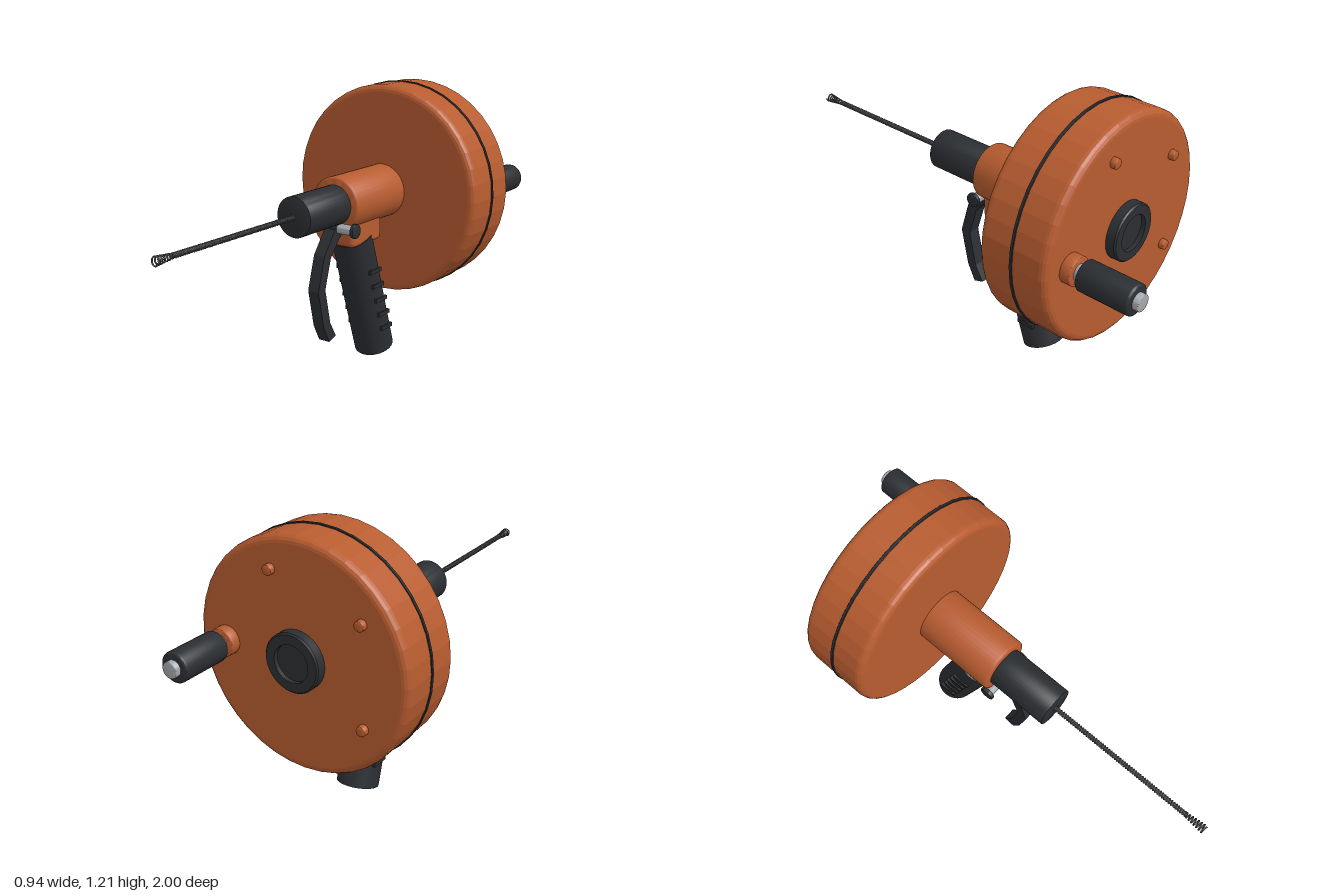
import * as THREE from 'three';
import { toCreasedNormals } from 'three/addons/utils/BufferGeometryUtils.js';
import { RoundedBoxGeometry } from 'three/addons/geometries/RoundedBoxGeometry.js';

const AXIS_Y = 0.743; // height of the drum axis
const mat = (color, extra = {}) => new THREE.MeshStandardMaterial({ color, ...extra });

export function createModel() {
  const model = new THREE.Group();
  model.name = 'drumAuger';
  const orange = mat(0xb85c30);
  const orangeFlat = mat(0xb85c30, { flatShading: true });
  const black = mat(0x2b2e32);
  const blackFlat = mat(0x2b2e32, { flatShading: true });
  const steel = mat(0xa4a8ac);
  const wire = mat(0x5a5c5f);

  const add = (name, geometry, material, x = 0, y = 0, z = 0, parent = model) => {
    const mesh = new THREE.Mesh(geometry, material);
    mesh.name = name;
    mesh.position.set(x, y, z);
    parent.add(mesh);
    return mesh;
  };
  // Solid of revolution about z; profile is [radius, z] from back to front
  const turn = (profile, segments = 40) =>
    toCreasedNormals(
      new THREE.LatheGeometry(profile.map(([r, z]) => new THREE.Vector2(r, z)), segments).rotateX(Math.PI / 2),
      0.6
    );
  // Rod along z with rounded rims
  const rod = (radius, back, front, round = 0.006, segments = 40) => {
    const profile = [[0, back]];
    const steps = 4;
    for (let i = 0; i <= steps; i++) {
      const a = (i / steps) * Math.PI / 2;
      profile.push([radius - round + round * Math.sin(a), back + round - round * Math.cos(a)]);
    }
    for (let i = 0; i <= steps; i++) {
      const a = (i / steps) * Math.PI / 2;
      profile.push([radius - round + round * Math.cos(a), front - round + round * Math.sin(a)]);
    }
    profile.push([0, front]);
    return turn(profile, segments);
  };

  // Drum and its seam
  add('drum', rod(0.466, -0.69, -0.38, 0.03), orangeFlat, 0, AXIS_Y);
  add('drumSeam', rod(0.471, -0.541, -0.529, 0.002), blackFlat, 0, AXIS_Y);

  // Neck and chuck in front of the drum
  add('neck', rod(0.118, -0.4, -0.025, 0.012), orange, 0, AXIS_Y);
  add('chuck', rod(0.085, -0.04, 0.245, 0.002), black, 0, AXIS_Y);

  // Dished hub at the back
  add('rearHub', turn([
    [0, -0.715], [0.075, -0.715], [0.075, -0.733], [0.112, -0.733], [0.118, -0.727], [0.118, -0.68],
  ]), black, 0, AXIS_Y);

  // Screws on the back, sharing a five-point circle with the crank
  for (const i of [1, 2, 3]) {
    const a = (i * 2 * Math.PI) / 5;
    add('drumScrew', rod(0.021, -0.713, -0.68, 0.005, 20), orange,
      0.345 * Math.cos(a), AXIS_Y + 0.345 * Math.sin(a));
  }

  // Crank knob
  const crank = new THREE.Group();
  crank.name = 'crank';
  crank.position.set(0.33, AXIS_Y, 0);
  model.add(crank);
  add('crankBoss', rod(0.058, -0.733, -0.68, 0.005, 32), orange, 0, 0, 0, crank);
  add('crankShaft', rod(0.033, -1, -0.72, 0.003, 24), steel, 0, 0, 0, crank);
  add('crankGrip', rod(0.061, -0.977, -0.755, 0.01, 32), black, 0, 0, 0, crank);

  // Wound cable, flaring into a coil at the tip
  const helix = (z0, z1, turns, r0, r1) => {
    const points = [];
    const n = turns * 10;
    for (let i = 0; i <= n; i++) {
      const t = i / n;
      const a = t * turns * Math.PI * 2;
      const r = r0 + (r1 - r0) * t;
      points.push(new THREE.Vector3(r * Math.cos(a), r * Math.sin(a), z0 + (z1 - z0) * t));
    }
    return new THREE.TubeGeometry(new THREE.CatmullRomCurve3(points), n, 0.0032, 6);
  };
  add('cableCore', rod(0.0085, 0.2, 0.9, 0.001, 12), wire, 0, AXIS_Y);
  add('cableWinding', helix(0.24, 0.91, 60, 0.009, 0.009), wire, 0, AXIS_Y);
  add('cableTip', helix(0.905, 0.996, 7, 0.009, 0.018), wire, 0, AXIS_Y);

  // Mount block and pistol grip
  add('gripMount', new RoundedBoxGeometry(0.16, 0.13, 0.215, 4, 0.022), orange, 0, 0.621, -0.157);
  const tilt = 0.318;
  const gripLength = 0.58;
  const grip = add('pistolGrip', new THREE.CylinderGeometry(0.088, 0.088, gripLength, 40), black,
    0, 0.028 + Math.cos(tilt) * gripLength / 2, -0.332 + Math.sin(tilt) * gripLength / 2);
  grip.rotation.x = tilt;
  for (const side of [-1, 1]) {
    for (let i = 0; i < 5; i++) {
      add('gripRib', new THREE.BoxGeometry(0.016, 0.018, 0.08), black,
        side * 0.085, 0.425 - i * 0.071, -0.206 - i * 0.0235);
    }
  }

  // Bent lever, drawn in side outline as (z, y)
  const outline = [
    [-0.045, 0.625], [0.035, 0.53], [0.074, 0.4], [0.04, 0.245], [0.0, 0.175],
    [0.047, 0.16], [0.085, 0.235], [0.121, 0.4], [0.08, 0.545], [-0.005, 0.66],
  ].map(([z, y]) => new THREE.Vector2(z, y));
  const lever = new THREE.ExtrudeGeometry(new THREE.Shape(outline), { depth: 0.054, bevelEnabled: false });
  lever.translate(0, 0, -0.027).rotateY(-Math.PI / 2);
  add('lever', lever, blackFlat);

  // Lever pivot pin with end caps
  const pivot = new THREE.Group();
  pivot.name = 'leverPivot';
  pivot.position.set(0, 0.645, -0.025);
  pivot.rotation.y = Math.PI / 2;
  model.add(pivot);
  add('pivotPin', rod(0.022, -0.105, 0.105, 0.002, 24), steel, 0, 0, 0, pivot);
  add('pivotSleeve', rod(0.031, -0.027, 0.027, 0.002, 24), black, 0, 0, 0, pivot);
  for (const side of [-1, 1]) {
    add('pivotCap', rod(0.031, -0.008, 0.008, 0.003, 24), black, 0, 0, side * 0.107, pivot);
  }

  return model;
}
